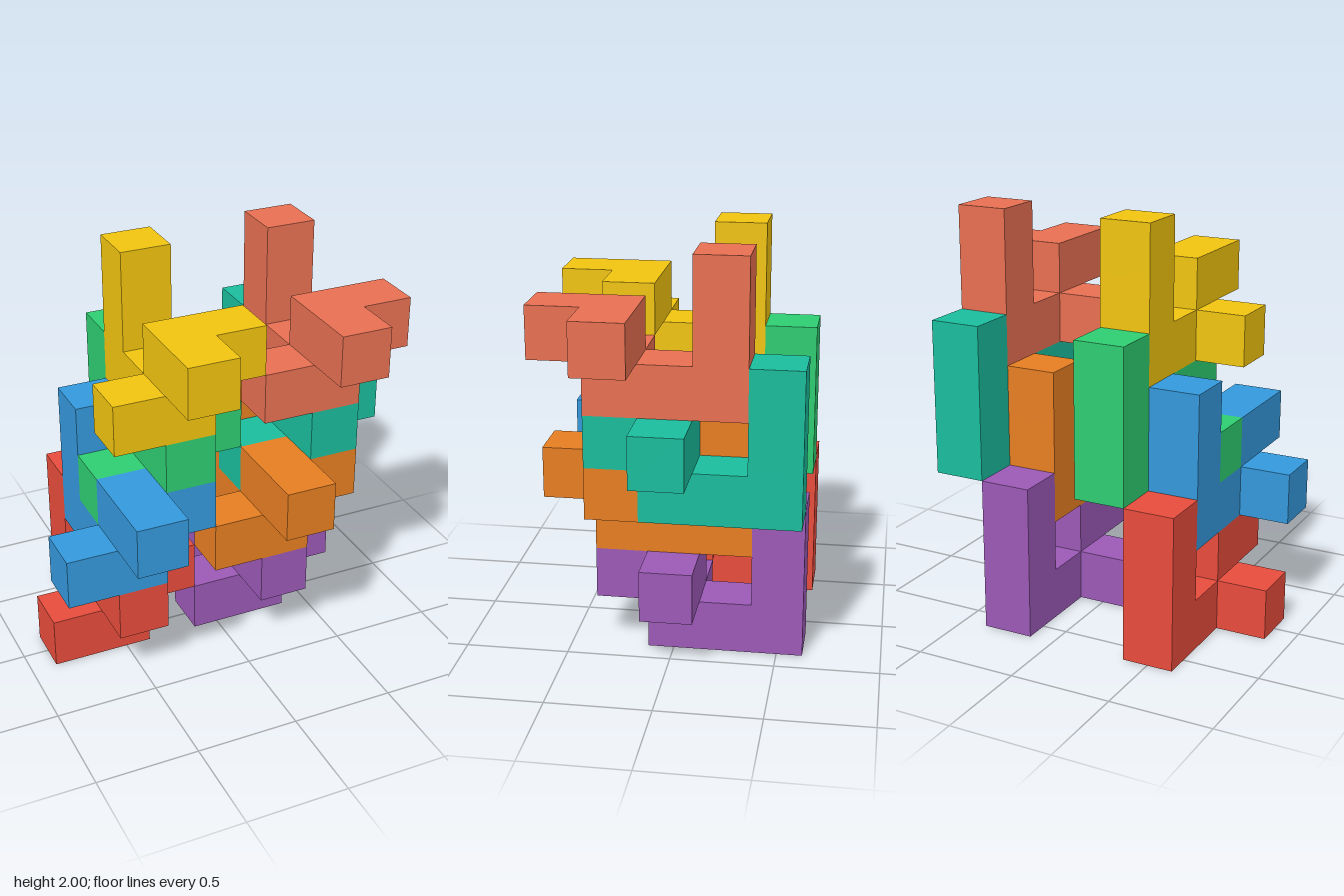
import * as THREE from 'three';
import { mergeGeometries } from 'three/addons/utils/BufferGeometryUtils.js';

const U = 0.25; // edge of one cube

// Cubes of one puzzle piece as [x, y, z] steps from its hub
const CELLS = [
  [0, 0, 0], [-1, 0, 0], [0, 0, -1], [0, 0, -2], // foot: hub, side stub and rear bar
  [0, 1, 0], [1, 1, 0], [0, 1, 1],               // upper knuckle with side and front stubs
  [0, 1, -2], [0, 2, -2],                        // rear post
];

const DIRECTIONS = [
  [1, 0, 0], [-1, 0, 0], [0, 1, 0], [0, -1, 0], [0, 0, 1], [0, 0, -1],
].map((d) => new THREE.Vector3(...d));

// Outer skin of a set of cubes: one square wherever a cube has no neighbour
function polycube(cells) {
  const filled = new Set(cells.map((c) => c.join()));
  const forward = new THREE.Vector3(0, 0, 1);
  const faces = [];
  for (const cell of cells) {
    const centre = new THREE.Vector3(...cell);
    for (const dir of DIRECTIONS) {
      if (filled.has(centre.clone().add(dir).toArray().join())) continue;
      const face = new THREE.PlaneGeometry(U, U);
      face.translate(0, 0, U / 2);
      face.applyQuaternion(new THREE.Quaternion().setFromUnitVectors(forward, dir));
      face.translate(centre.x * U, centre.y * U, centre.z * U);
      faces.push(face);
    }
  }
  return mergeGeometries(faces);
}

// Name, colour and hub position in grid steps from the middle of the base
const PIECES = [
  ['redPiece', 0xe74c3c, [-2, 0, 0]],
  ['purplePiece', 0x9b59b6, [1, 0, 0]],
  ['bluePiece', 0x3498db, [-2, 2, 1]],
  ['orangePiece', 0xe67e22, [1, 2, 1]],
  ['greenPiece', 0x2ecc71, [-1, 3, 0]],
  ['tealPiece', 0x1abc9c, [2, 3, 0]],
  ['yellowPiece', 0xf1c40f, [-1, 5, 1]],
  ['coralPiece', 0xe76f51, [2, 5, 1]],
];

export function createModel() {
  const model = new THREE.Group();
  model.name = 'interlockingCubePieces';
  const geometry = polycube(CELLS);
  for (const [name, color, [x, y, z]] of PIECES) {
    const piece = new THREE.Mesh(geometry, new THREE.MeshStandardMaterial({ color }));
    piece.name = name;
    piece.position.set(x * U, (y + 0.5) * U, z * U);
    model.add(piece);
  }
  return model;
}
